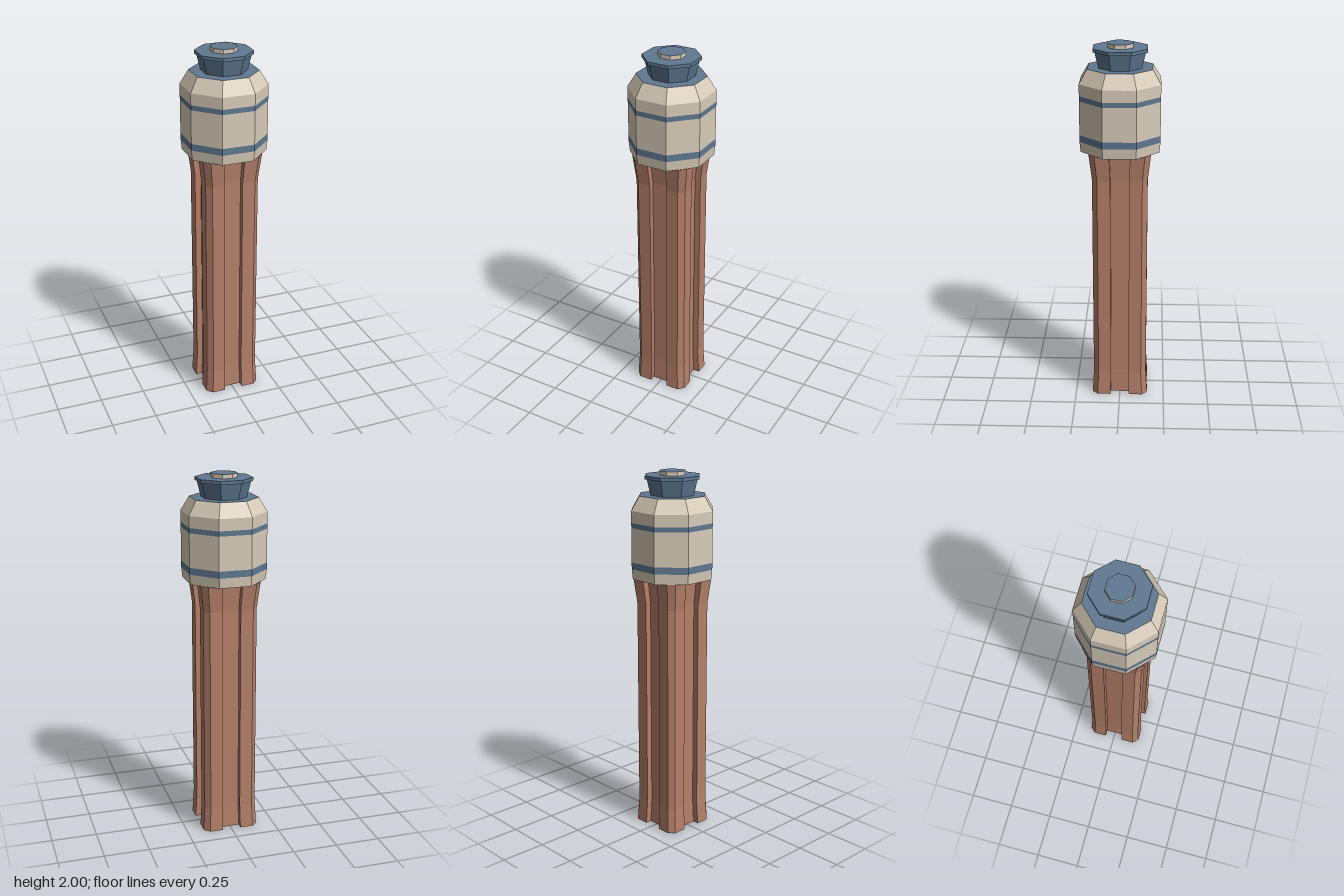
import * as THREE from 'three';

const mat = (color) => new THREE.MeshStandardMaterial({ color, flatShading: true, side: THREE.DoubleSide });
const cream = mat(0xd8ccba), blue = mat(0x5f7890), brown = mat(0xb5806b);
const toRadius = 1 / Math.cos(Math.PI / 8);

export function createModel() {
  const model = new THREE.Group();

  const add = (name, geometry, material) => {
    const mesh = new THREE.Mesh(geometry, material);
    mesh.name = name;
    model.add(mesh);
  };

  // Octagonal ring wall; sizes are centre-to-flat distances
  const wall = (name, y0, y1, a0, a1, material) => {
    const g = new THREE.CylinderGeometry(a1 * toRadius, a0 * toRadius, y1 - y0, 8, 1, true, Math.PI / 8);
    add(name, g.translate(0, (y0 + y1) / 2, 0), material);
  };

  // Flat octagonal plate facing up (1) or down (-1)
  const plate = (name, y, a, facing, material) => {
    const g = new THREE.CircleGeometry(a * toRadius, 8, Math.PI / 8);
    add(name, g.rotateX(-facing * Math.PI / 2).translate(0, y, 0), material);
  };

  // Grip: square with chamfered corners and a channel down each side
  const side = [[-0.12, 0.148], [-0.05, 0.148], [-0.05, 0.115], [0.05, 0.115], [0.05, 0.148], [0.12, 0.148]];
  const section = [];
  for (let k = 0; k < 4; k++) {
    const c = Math.cos(k * Math.PI / 2), s = Math.sin(k * Math.PI / 2);
    for (const [x, z] of side) section.push([x * c + z * s, z * c - x * s]);
  }
  const levels = [[0, 1.05], [0.14, 1], [1.29, 1], [1.435, 1.11]];
  const n = section.length, positions = [], indices = [];
  levels.forEach(([y, scale], j) => {
    section.forEach(([x, z], i) => {
      positions.push(x * scale, y, z * scale);
      if (j === 0) return;
      const a = (j - 1) * n + i, b = (j - 1) * n + (i + 1) % n;
      indices.push(a, b, b + n, a, b + n, a + n);
    });
  });
  const grip = new THREE.BufferGeometry();
  grip.setAttribute('position', new THREE.Float32BufferAttribute(positions, 3));
  grip.setIndex(indices);
  grip.computeVertexNormals();
  add('grip', grip, brown);

  // Head with two inlaid bands and a bevelled shoulder
  plate('headUnderside', 1.435, 0.208, -1, cream);
  wall('headBase', 1.435, 1.49, 0.208, 0.213, cream);
  wall('lowerBand', 1.49, 1.527, 0.213, 0.213, blue);
  wall('headBody', 1.527, 1.71, 0.213, 0.213, cream);
  wall('upperBand', 1.71, 1.737, 0.213, 0.213, blue);
  wall('headTop', 1.737, 1.8, 0.213, 0.213, cream);
  wall('shoulder', 1.8, 1.875, 0.213, 0.17, cream);
  plate('shoulderTop', 1.875, 0.17, 1, blue);

  // Neck, flange and end button
  wall('neck', 1.875, 1.96, 0.113, 0.132, blue);
  plate('flangeUnderside', 1.96, 0.142, -1, blue);
  wall('flange', 1.96, 1.978, 0.142, 0.142, blue);
  plate('flangeTop', 1.978, 0.142, 1, blue);
  wall('button', 1.978, 2, 0.067, 0.067, cream);
  plate('buttonTop', 2, 0.067, 1, blue);

  return model;
}
